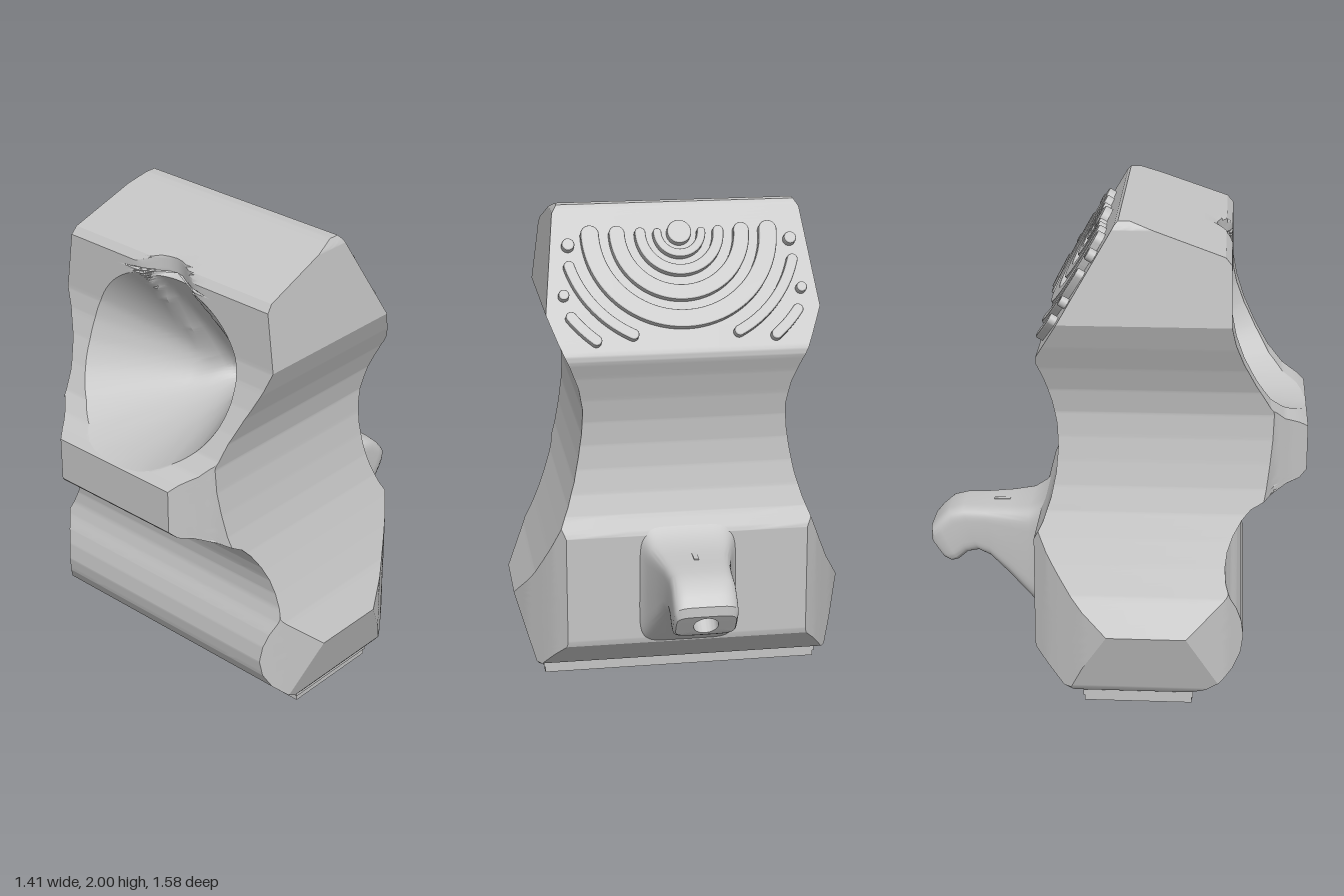
import * as THREE from 'three';
import { toCreasedNormals } from 'three/addons/utils/BufferGeometryUtils.js';

const stone = new THREE.MeshStandardMaterial({ color: 0xc4c4c4 });
stone.name = 'light grey';

// piecewise linear lookup in a flat key list [t, v, t, v, ...]
function lookup(k, t) {
  if (t <= k[0]) return k[1];
  for (let i = 2; i < k.length; i += 2) {
    if (t <= k[i]) return k[i - 1] + (k[i + 1] - k[i - 1]) * (t - k[i - 2]) / (k[i] - k[i - 2]);
  }
  return k[k.length - 1];
}

// closed skin over equal-length rings, capped at both ends
function loft(rings, crease) {
  const centre = (r) => {
    const c = r.reduce((s, p) => s.map((v, i) => v + p[i] / r.length), [0, 0, 0]);
    return r.map(() => c);
  };
  const rows = [centre(rings[0]), ...rings, centre(rings[rings.length - 1])];
  const n = rows[0].length, index = [];
  for (let j = 0; j < rows.length - 1; j++) {
    for (let i = 0; i < n; i++) {
      const a = j * n + i, b = j * n + (i + 1) % n;
      index.push(a, b, b + n, a, b + n, a + n);
    }
  }
  const g = new THREE.BufferGeometry();
  g.setAttribute('position', new THREE.Float32BufferAttribute(rows.flat(2), 3));
  g.setIndex(index);
  return toCreasedNormals(g, crease);
}

// body profiles: half width, front and back depth by height; half width by depth
const WIDTH = [0.06, 0.61, 0.08, 0.625, 0.34, 0.705, 0.48, 0.625, 0.6, 0.572, 0.7, 0.53, 0.8, 0.49, 0.9, 0.46, 1, 0.44,
  1.1, 0.425, 1.2, 0.42, 1.3, 0.438, 1.4, 0.475, 1.5, 0.52, 1.6, 0.56, 1.97, 0.51, 2, 0.49];
const FRONT = [0.06, 0.34, 0.08, 0.4, 0.12, 0.46, 0.17, 0.51, 0.23, 0.54, 0.3, 0.55, 0.37, 0.54, 0.43, 0.52, 0.48, 0.495,
  0.54, 0.475, 0.6, 0.47, 0.66, 0.478, 0.72, 0.5, 0.78, 0.535, 0.82, 0.57, 0.86, 0.64, 0.89, 0.715, 0.9, 0.765, 0.93, 0.794,
  1.115, 0.794, 1.14, 0.76, 1.17, 0.7, 1.23, 0.64, 1.33, 0.58, 1.43, 0.53, 1.52, 0.497, 1.6, 0.48, 1.84, 0.475, 1.87, 0.45, 2, 0.08];
const BACK = [0.06, -0.13, 0.08, -0.18, 0.12, -0.22, 0.2, -0.3, 0.22, -0.305, 0.68, -0.305, 0.72, -0.285, 0.76, -0.265,
  0.85, -0.235, 0.95, -0.215, 1.05, -0.207, 1.15, -0.212, 1.25, -0.232, 1.35, -0.262, 1.42, -0.29, 1.45, -0.288, 1.985, 0.021, 2, 0.035];
const PLAN = [-0.31, 0.5, -0.25, 0.555, -0.2, 0.59, -0.1, 0.655, 0, 0.705, 0.32, 0.705, 0.48, 0.62, 0.56, 0.55,
  0.62, 0.475, 0.66, 0.41, 0.72, 0.355, 0.795, 0.3];

// bowl opening, and the deepest point its walls run to
const BOWL = { y: 1.465, rx: 0.39, ry: 0.35, e: 2.2 };
const APEX = { y: 1.2, z: 0.05 };
const inBowl = (x, y) => Math.abs(x / BOWL.rx) ** BOWL.e + Math.abs((y - BOWL.y) / BOWL.ry) ** BOWL.e < 1;
function openingHalf(y) {
  const t = Math.abs((y - BOWL.y) / BOWL.ry);
  return t < 1 ? Math.max(0.001, BOWL.rx * (1 - t ** BOWL.e) ** (1 / BOWL.e)) : 0.001;
}

function frontDepth(x, y) {
  let z = lookup(FRONT, y);
  if (y > 1.78 && Math.abs(x) < 0.17) { // notch above the bowl
    z = Math.min(z, 0.475 - 0.0325 * (1 + Math.cos(Math.PI * x / 0.17)));
  }
  if (!inBowl(x, y)) return z;
  let lo = 1, hi = 400;
  for (let i = 0; i < 30; i++) {
    const k = (lo + hi) / 2;
    if (inBowl(x * k, APEX.y + (y - APEX.y) * k)) lo = k; else hi = k;
  }
  const rim = lookup(FRONT, APEX.y + (y - APEX.y) * lo);
  z = Math.min(z, APEX.z + (rim - APEX.z) * (1 / lo) ** 1.2);
  const w = 0.09 + 0.04 * (y - 1.15) / 0.65; // channel down the back wall
  if (y > 1.16) z -= 0.045 * Math.sqrt(Math.max(0, 1 - (x / w) ** 2)) * Math.min(1, (y - 1.16) * 12);
  return z;
}

function bodyRing(y) {
  const w = lookup(WIDTH, y), zf = lookup(FRONT, y), zb = lookup(BACK, y);
  const half = (z) => Math.min(w, lookup(PLAN, z));
  const mid = Math.min(zf, Math.max(zb, 0.15));
  // depth where the plan outline cuts the side wall
  const corner = (end) => {
    if (lookup(PLAN, end) >= w - 1e-6) return end;
    let out = end, inn = mid;
    for (let i = 0; i < 25; i++) {
      const m = (out + inn) / 2;
      if (lookup(PLAN, m) >= w - 1e-6) inn = m; else out = m;
    }
    return inn;
  };
  const h = openingHalf(y), fx = half(zf), right = [], ring = [];
  const stops = [zf, corner(zf), corner(zb), zb], parts = [12, 6, 12];
  for (let i = 0; i <= 16; i++) right.push(h + (fx - h) * i / 16);
  for (let i = 16; i >= 0; i--) ring.push([-right[i], y, frontDepth(right[i], y)]);
  for (let i = 1; i < 44; i++) {
    const x = h * Math.sin((i / 44 - 0.5) * Math.PI);
    ring.push([x, y, frontDepth(x, y)]);
  }
  for (const x of right) ring.push([x, y, frontDepth(x, y)]);
  const side = [];
  parts.forEach((n, s) => {
    for (let i = 1; i <= n; i++) {
      const z = stops[s] + (stops[s + 1] - stops[s]) * i / n;
      side.push([half(z), y, z]);
    }
  });
  ring.push(...side);
  for (let i = 1; i < 8; i++) ring.push([half(zb) * (1 - i / 4), y, zb]);
  for (const p of side.reverse()) ring.push([-p[0], y, p[2]]);
  return ring;
}

function bodyGeometry() {
  const ys = [1.115, 1.815];
  for (const k of [WIDTH, FRONT, BACK]) for (let i = 0; i < k.length; i += 2) ys.push(k[i]);
  for (let y = 0.065; y < 2; y += 0.0125) ys.push(y);
  ys.sort((a, b) => a - b);
  return loft(ys.filter((y, i) => i === 0 || y - ys[i - 1] > 1e-4).map(bodyRing), 0.5);
}

// spout sections: top z, y, bottom z, y, half width, corner exponent; the last two form the nozzle bore
const SPOUT = [
  [-0.28, 0.72, -0.28, 0.19, 0.22, 0.3], [-0.31, 0.69, -0.32, 0.22, 0.195, 0.3], [-0.36, 0.66, -0.37, 0.27, 0.178, 0.3],
  [-0.45, 0.65, -0.45, 0.35, 0.155, 0.32], [-0.55, 0.645, -0.53, 0.425, 0.138, 0.35], [-0.65, 0.645, -0.58, 0.445, 0.13, 0.4],
  [-0.71, 0.63, -0.63, 0.435, 0.13, 0.4], [-0.76, 0.585, -0.67, 0.4, 0.13, 0.4], [-0.788, 0.55, -0.695, 0.393, 0.129, 0.4],
  [-0.79, 0.51, -0.72, 0.405, 0.12, 0.4], [-0.783, 0.499, -0.727, 0.416, 0.05, 1], [-0.7, 0.554, -0.644, 0.471, 0.05, 1]];
function spoutRing([zt, yt, zb, yb, w, e]) {
  const soft = (v) => Math.sign(v) * Math.abs(v) ** e;
  return Array.from({ length: 48 }, (_, i) => {
    const a = i / 48 * Math.PI * 2, v = soft(Math.cos(a)) / 2;
    return [w * soft(Math.sin(a)), (yt + yb) / 2 + (yt - yb) * v, (zt + zb) / 2 + (zt - zb) * v];
  });
}

// raised rounded strokes on the sloping back panel
const raise = (shape) => new THREE.ExtrudeGeometry(shape, {
  depth: 0.027, bevelEnabled: true, bevelSize: 0.006, bevelThickness: 0.006, bevelOffset: -0.006, bevelSegments: 2, curveSegments: 28 });
function arcStroke(r, a0, a1, w) {
  const s = new THREE.Shape(), h = w / 2;
  s.absarc(0, 0, r + h, a0, a1, false);
  s.absarc(r * Math.cos(a1), r * Math.sin(a1), h, a1, a1 + Math.PI, false);
  s.absarc(0, 0, r - h, a1, a0, true);
  s.absarc(r * Math.cos(a0), r * Math.sin(a0), h, a0 + Math.PI, a0 + Math.PI * 2, false);
  return raise(s);
}
function dot(x, y, r) {
  return raise(new THREE.Shape().absarc(x, y, r, 0, Math.PI * 2, false));
}

export function createModel() {
  const model = new THREE.Group();
  const add = (parent, name, geometry) => {
    const m = new THREE.Mesh(geometry, stone);
    m.name = name;
    parent.add(m);
    return m;
  };
  add(model, 'body', bodyGeometry());
  add(model, 'spout', loft(SPOUT.map(spoutRing), 0.6));
  add(model, 'spoutSlot', new THREE.BoxGeometry(0.02, 0.006, 0.07)).position.set(0, 0.648, -0.49);

  // foot plate with a shallow oval recess underneath
  add(model, 'footPlate', new THREE.BoxGeometry(1.18, 0.045, 0.45)).position.set(0, 0.0475, 0.125);
  const foot = new THREE.Shape([[-0.585, -0.095], [0.585, -0.095], [0.585, 0.345], [-0.585, 0.345]].map((p) => new THREE.Vector2(...p)));
  foot.holes.push(new THREE.Path().absellipse(0, 0.125, 0.52, 0.18, 0, Math.PI * 2, true));
  const rim = add(model, 'footRim', new THREE.ExtrudeGeometry(foot, { depth: 0.025, bevelEnabled: false, curveSegments: 32 }));
  rim.rotation.x = Math.PI / 2;
  rim.position.y = 0.025;

  // ripple relief
  const relief = new THREE.Group();
  relief.name = 'rippleRelief';
  relief.quaternion.setFromRotationMatrix(new THREE.Matrix4().makeBasis(
    new THREE.Vector3(-1, 0, 0), new THREE.Vector3(0, 0.866, 0.5), new THREE.Vector3(0, 0.5, -0.866)));
  relief.position.set(0, 1.881, -0.039);
  add(relief, 'centreDot', dot(0, 0, 0.05));
  for (const [r, w] of [[0.09, 0.035], [0.16, 0.045], [0.255, 0.065], [0.365, 0.075]]) {
    add(relief, 'rippleArc', arcStroke(r, Math.PI, Math.PI * 2, w));
  }
  for (const side of [1, -1]) {
    const piece = (name, r, from, to) => {
      const a = -from, b = -to; // angles below the horizontal
      add(relief, name, side > 0 ? arcStroke(r, b, a, 0.045) : arcStroke(r, Math.PI - a, Math.PI - b, 0.045));
    };
    piece('outerArc', 0.475, 0.28, 1.1);
    piece('outerDash', 0.575, 0.64, 0.88);
    add(relief, 'outerDot', dot(side * 0.455, -0.04, 0.026));
    add(relief, 'lowerDot', dot(side * 0.485, -0.25, 0.022));
  }
  model.add(relief);
  return model;
}
